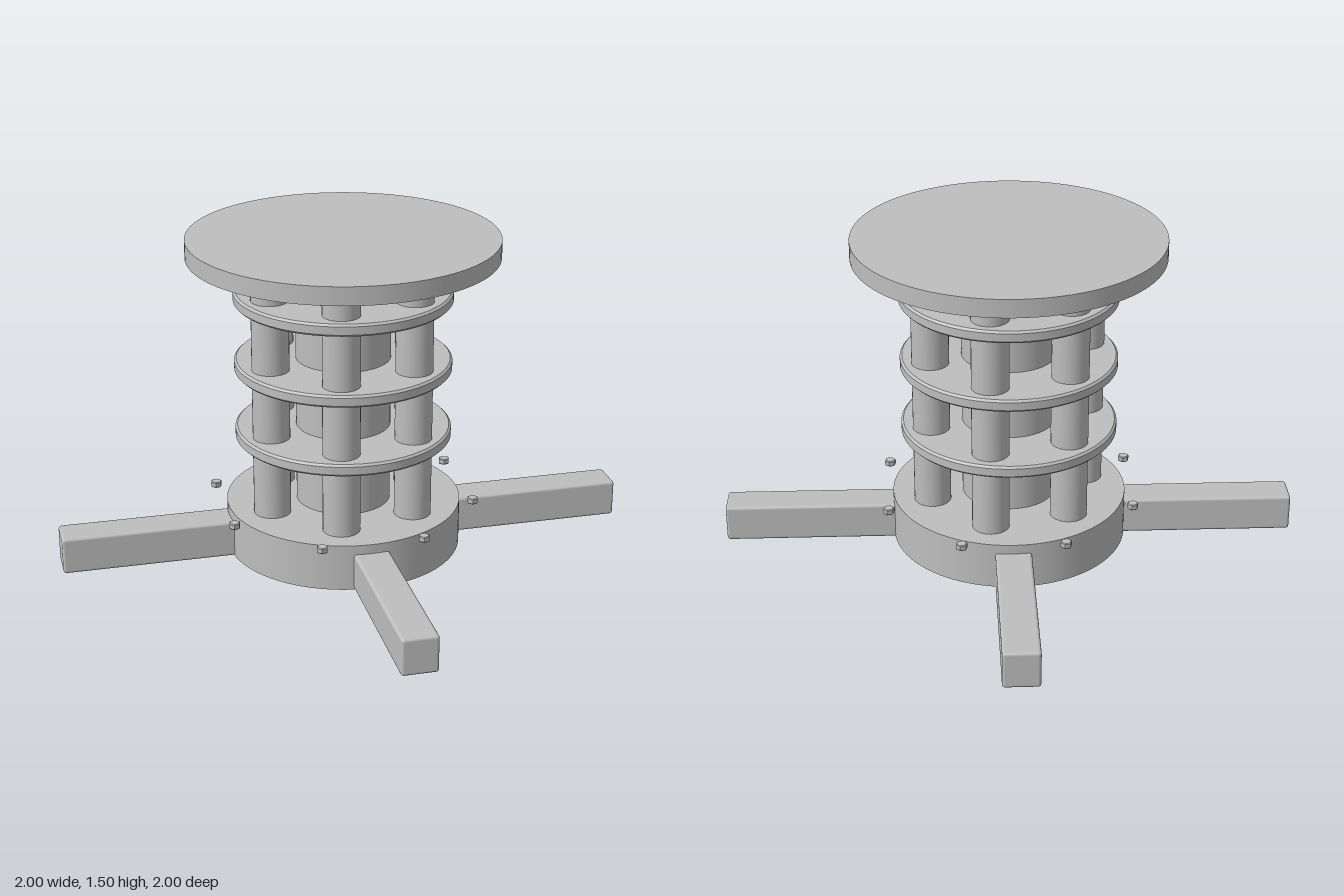
import * as THREE from 'three';
import { toCreasedNormals } from 'three/addons/utils/BufferGeometryUtils.js';
import { RoundedBoxGeometry } from 'three/addons/geometries/RoundedBoxGeometry.js';

export function createModel() {
  const model = new THREE.Group();
  const grey = new THREE.MeshStandardMaterial({ color: 0xbebebe });
  grey.name = 'plain grey';

  const add = (name, geometry, x = 0, y = 0, z = 0) => {
    const mesh = new THREE.Mesh(geometry, grey);
    mesh.name = name;
    mesh.position.set(x, y, z);
    model.add(mesh);
    return mesh;
  };

  // upright cylinder between two heights
  const drum = (name, r, y0, y1, x = 0, z = 0, sides = 64) =>
    add(name, new THREE.CylinderGeometry(r, r, y1 - y0, sides), x, (y0 + y1) / 2, z);

  // disc with chamfered rims
  const chamferedDisc = (r, h, c, sides) => {
    const profile = [[0, 0], [r - c, 0], [r, c], [r, h - c], [r - c, h], [0, h]];
    const lathe = new THREE.LatheGeometry(profile.map(p => new THREE.Vector2(...p)), sides);
    return toCreasedNormals(lathe, 0.5);
  };

  // main stack
  drum('base', 0.55, 0, 0.22, 0, 0, 96);
  drum('core', 0.22, 0.22, 1.415);
  drum('topPlate', 0.715, 1.415, 1.5, 0, 0, 96);

  // intermediate shelves
  const shelf = chamferedDisc(0.503, 0.058, 0.01, 96);
  for (const y of [0.537, 0.867, 1.198]) add('shelf', shelf, 0, y, 0);

  // six columns around the core
  for (let i = 0; i < 6; i++) {
    const a = i * Math.PI / 3;
    drum('column', 0.086, 0.22, 1.415, 0.375 * Math.cos(a), 0.375 * Math.sin(a), 32);
  }

  // four diagonal feet, running into the base
  const inner = 0.3, tip = 1.342;
  const foot = new RoundedBoxGeometry(tip - inner, 0.174, 0.166, 2, 0.014);
  for (let i = 0; i < 4; i++) {
    const a = Math.PI / 4 + i * Math.PI / 2, r = (inner + tip) / 2;
    add('foot', foot, r * Math.cos(a), 0.088, r * Math.sin(a)).rotation.y = -a;
  }

  // two circles of small hexagonal bolts
  const bolt = chamferedDisc(0.027, 0.028, 0.004, 6);
  bolt.rotateY(Math.PI / 2);
  for (let i = 0; i < 8; i++) {
    const a = (i + 0.5) * Math.PI / 4;
    const x = 0.615 * Math.cos(a), z = 0.615 * Math.sin(a);
    add('lowerBolt', bolt, x, 0.22, z);
    add('upperBolt', bolt, x, 1.387, z);
  }
  return model;
}
